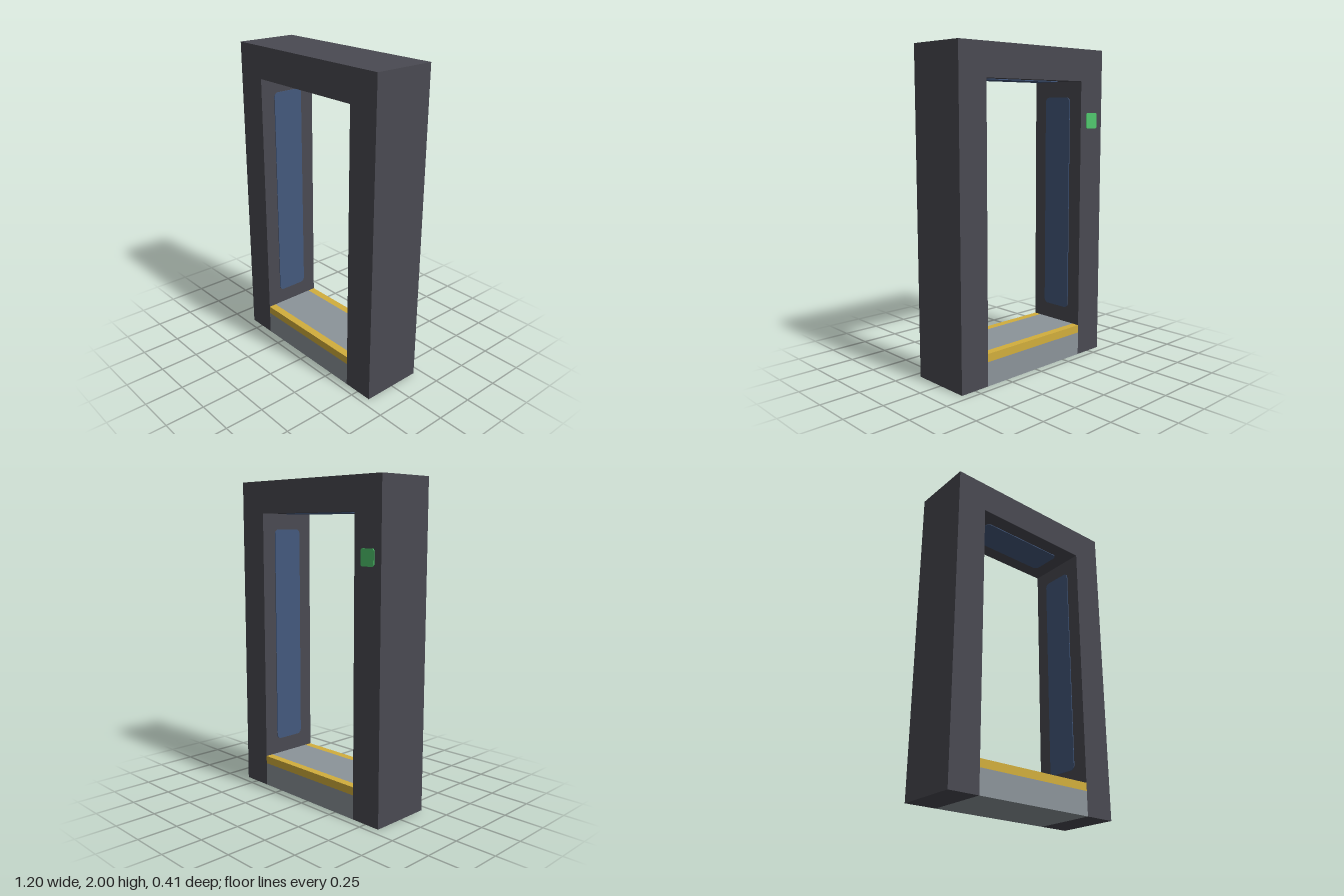
import * as THREE from 'three';

const material = (name, color) => {
  const m = new THREE.MeshStandardMaterial({ color });
  m.name = name;
  return m;
};

export function createModel() {
  const group = new THREE.Group();
  const charcoal = material('charcoal', 0x4a4a52);
  const grey = material('grey', 0x8c949a);
  const gold = material('gold', 0xd2ae3c);
  const blue = material('blue', 0x44597d);
  const green = material('green', 0x50c86e);

  const add = (name, geometry, mat) => {
    const mesh = new THREE.Mesh(geometry, mat);
    mesh.name = name;
    group.add(mesh);
    return mesh;
  };

  // Thin plate with rounded corners, facing +z and lying on z = 0
  const plate = (w, h, r, depth = 0.005) => {
    const x = w / 2, y = h / 2;
    const s = new THREE.Shape();
    s.absarc(x - r, y - r, r, 0, Math.PI / 2);
    s.absarc(-x + r, y - r, r, Math.PI / 2, Math.PI);
    s.absarc(-x + r, -y + r, r, Math.PI, Math.PI * 1.5);
    s.absarc(x - r, -y + r, r, Math.PI * 1.5, Math.PI * 2);
    return new THREE.ExtrudeGeometry(s, { depth, bevelEnabled: false, curveSegments: 6 });
  };

  // Door-shaped arch: two posts and a header in one piece
  const arch = new THREE.Shape([
    [-0.6, 0], [-0.4, 0], [-0.4, 1.8], [0.4, 1.8],
    [0.4, 0], [0.6, 0], [0.6, 2], [-0.6, 2],
  ].map(([x, y]) => new THREE.Vector2(x, y)));
  const archGeometry = new THREE.ExtrudeGeometry(arch, { depth: 0.4, bevelEnabled: false });
  add('frame', archGeometry.translate(0, 0, -0.2), charcoal);

  // Threshold: a grey step with a gold nosing on both long edges
  add('thresholdBase', new THREE.BoxGeometry(0.8, 0.15, 0.4), grey).position.y = 0.075;
  add('thresholdTop', new THREE.BoxGeometry(0.8, 0.05, 0.3), grey).position.y = 0.175;
  for (const [name, side] of [['frontNosing', 1], ['backNosing', -1]]) {
    add(name, new THREE.BoxGeometry(0.8, 0.05, 0.05), gold).position.set(0, 0.175, side * 0.175);
  }

  // Blue panels on the inner faces of the posts and the header
  for (const [name, side] of [['leftPanel', 1], ['rightPanel', -1]]) {
    const panel = add(name, plate(0.21, 1.4, 0.03), blue);
    panel.rotation.y = -side * Math.PI / 2;
    panel.position.set(side * 0.4, 1, 0);
  }
  const ceiling = add('ceilingPanel', plate(0.6, 0.21, 0.03), blue);
  ceiling.rotation.x = Math.PI / 2;
  ceiling.position.y = 1.8;

  // Small indicator light on the back of the right post
  const light = add('indicatorLight', plate(0.1, 0.1, 0.015), green);
  light.rotation.y = Math.PI;
  light.position.set(-0.5, 1.55, -0.2);

  return group;
}
